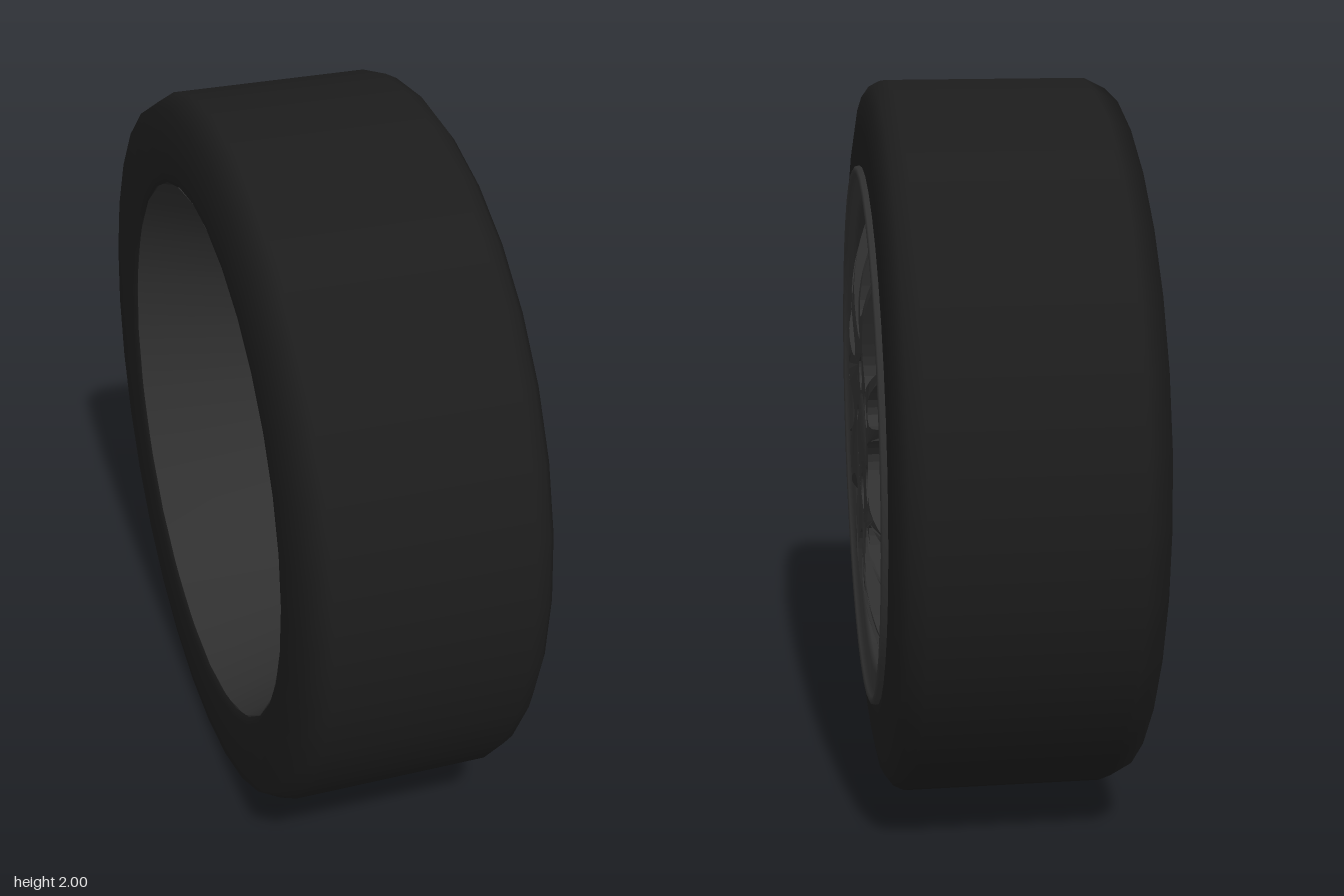
import * as THREE from 'three';

const DEG = Math.PI / 180;
const mat = (color, extra = {}) => new THREE.MeshStandardMaterial({ color, ...extra });
const v2 = (pts) => pts.map(([x, y]) => new THREE.Vector2(x, y));

// Everything is built with the axle along +z (outer face), then turned to +x.
export function createModel() {
  const rubber = mat(0x1c1c1c, { side: THREE.DoubleSide });
  const alloy = mat(0x303030, { side: THREE.DoubleSide });
  const alloyFlat = mat(0x303030, { flatShading: true });
  const steel = mat(0x5a5a5a, { side: THREE.DoubleSide, flatShading: true });
  const plate = mat(0x383838, { flatShading: true });
  const caliperMat = mat(0x303030, { flatShading: true });

  const wheel = new THREE.Group();
  wheel.name = 'wheel';
  const add = (name, geo, material, x = 0, y = 0, z = 0, parent = wheel) => {
    const m = new THREE.Mesh(geo, material);
    m.name = name;
    m.position.set(x, y, z);
    parent.add(m);
    return m;
  };
  // profile points are [radius, position along axle]
  const lathe = (pts, seg) => new THREE.LatheGeometry(v2(pts), seg).rotateX(Math.PI / 2);
  const disc = (r, depth, seg) => new THREE.CylinderGeometry(r, r, depth, seg).rotateX(Math.PI / 2);

  // Tyre
  add('tyre', lathe([[0.76, -0.34], [0.78, -0.35], [0.97, -0.35], [1, -0.29], [1, -0.28], [1, 0.25],
    [1, 0.26], [0.985, 0.29], [0.955, 0.312], [0.88, 0.325], [0.76, 0.325], [0.75, 0.31]], 32), rubber);

  // Rim: lip on the outer face and barrel widening to the inner side
  add('rimLip', lathe([[0.765, 0.315], [0.76, 0.338], [0.75, 0.343], [0.738, 0.338], [0.73, 0.326],
    [0.675, 0.322], [0.66, 0.31], [0.65, 0.24]], 40), alloy);
  add('rimBarrel', lathe([[0.655, 0.25], [0.64, 0.21], [0.6, 0.18], [0.76, -0.34]], 24), alloy);

  // Eight forked spokes, domed so they sweep back to the rim
  const half = [[0.24, 22.5], [0.28, 22.5], [0.285, 18], [0.305, 14], [0.33, 12], [0.37, 10.8], [0.41, 10.2],
    [0.44, 9.8], [0.48, 9.5], [0.52, 9.3], [0.56, 9.2], [0.6, 9.1], [0.655, 9.1],
    [0.655, 6.9], [0.6, 6.6], [0.56, 6.4], [0.52, 6.1], [0.48, 5.7], [0.44, 4.6], [0.42, 2.5]];
  const fork = [...half.map(([r, a]) => [r, -a]), [0.41, 0], ...half.slice().reverse()];
  const forkShape = new THREE.Shape(v2(fork.map(([r, a]) => [r * Math.cos(a * DEG), r * Math.sin(a * DEG)])));
  const spoke = new THREE.ExtrudeGeometry(forkShape, { depth: 0.06, bevelEnabled: false });
  const p = spoke.attributes.position;
  for (let i = 0; i < p.count; i++) {
    const d = Math.hypot(p.getX(i), p.getY(i)) - 0.4;
    p.setZ(i, p.getZ(i) + 0.287 - (d > 0 ? 0.95 : 0.5) * d * d);
  }
  spoke.computeVertexNormals();
  for (let k = 0; k < 8; k++) {
    add('forkedSpoke', spoke, alloyFlat).rotation.z = (22.5 + 45 * k) * DEG;
  }

  // Hub face with five bolt recesses, hub body and centre cap
  const hubShape = new THREE.Shape().absarc(0, 0, 0.255, 0, Math.PI * 2);
  for (let k = 0; k < 5; k++) {
    const t = (180 + 3 + 72 * k) * DEG;
    hubShape.holes.push(new THREE.Path().absarc(0.185 * Math.cos(t), 0.185 * Math.sin(t), 0.055, 0, Math.PI * 2, true));
  }
  add('hubFace', new THREE.ExtrudeGeometry(hubShape, { depth: 0.06, bevelEnabled: false, curveSegments: 16 }),
    alloyFlat, 0, 0, 0.274);
  add('hubBody', disc(0.25, 0.2, 24), alloyFlat, 0, 0, 0.18);
  add('centreCap', lathe([[0.125, 0.325], [0.12, 0.336], [0.08, 0.339], [0.06, 0.345], [0, 0.345]], 24), alloy);

  // Brake disc: a cup open to the inner side, with a backing plate inside it
  const rotor = lathe([[0.51, -0.01], [0.51, 0.07], [0, 0.07]], 16).rotateZ(Math.PI / 16);
  add('brakeDisc', rotor, steel);
  add('backingPlate', disc(0.49, 0.02, 24), plate, 0, 0, 0.055);

  // Brake caliper: two scalloped halves joined over the disc edge
  const caliper = new THREE.Group();
  caliper.name = 'brakeCaliper';
  wheel.add(caliper);
  const body = new THREE.Shape(v2([[-0.325, 0.49], [-0.345, 0.49], [-0.42, 0.42], [-0.49, 0.34], [-0.53, 0.29],
    [-0.55, 0.21], [-0.52, 0.17], [-0.52, 0.14], [-0.565, 0.09], [-0.57, -0.08], [-0.52, -0.13], [-0.52, -0.17],
    [-0.55, -0.21], [-0.53, -0.29], [-0.49, -0.34], [-0.42, -0.42], [-0.345, -0.49], [-0.325, -0.49],
    [-0.325, -0.26], [-0.35, -0.2], [-0.335, -0.1], [-0.36, 0], [-0.335, 0.1], [-0.35, 0.2], [-0.325, 0.26]]));
  const bevel = { bevelThickness: 0.012, bevelSize: 0.01, bevelOffset: -0.01, bevelSegments: 1 };
  for (const [name, z, depth] of [['outerCaliperHalf', 0.09, 0.07], ['innerCaliperHalf', -0.08, 0.1]]) {
    add(name, new THREE.ExtrudeGeometry(body, { depth, ...bevel }), caliperMat, 0, 0, z, caliper);
  }
  // raised wavy pad on the outer half
  const ridge = new THREE.Shape().moveTo(-0.37, 0.37).splineThru(v2([[-0.41, 0.33], [-0.43, 0.25], [-0.48, 0.15],
    [-0.47, 0.07], [-0.5, 0], [-0.47, -0.07], [-0.48, -0.15], [-0.43, -0.25], [-0.41, -0.33], [-0.37, -0.37],
    [-0.36, -0.28], [-0.39, -0.18], [-0.4, -0.1], [-0.38, 0], [-0.4, 0.1], [-0.39, 0.18], [-0.36, 0.28], [-0.37, 0.37]]));
  add('caliperRidge', new THREE.ExtrudeGeometry(ridge, { depth: 0.015, curveSegments: 2, ...bevel }),
    caliperMat, 0, 0, 0.17, caliper);
  for (const s of [-1, 1]) {
    add('caliperBridge', new THREE.BoxGeometry(0.04, 0.1, 0.12), caliperMat, -0.5, 0.24 * s, 0.05, caliper);
  }

  wheel.rotation.y = Math.PI / 2;
  wheel.position.y = 1;
  const model = new THREE.Group();
  model.name = 'wheelAssembly';
  model.add(wheel);
  return model;
}
